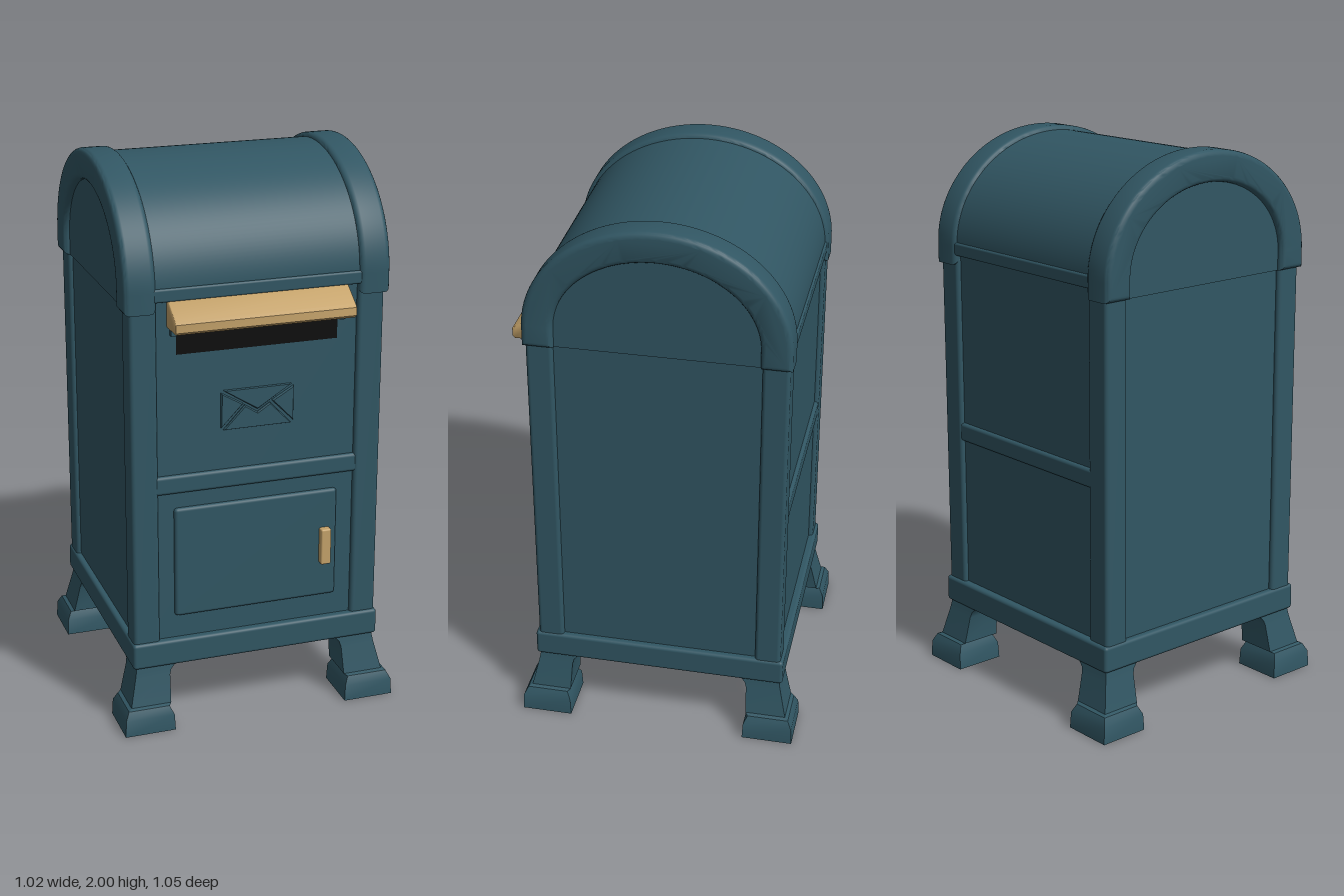
import * as THREE from 'three';
import { toCreasedNormals } from 'three/addons/utils/BufferGeometryUtils.js';
import { RoundedBoxGeometry } from 'three/addons/geometries/RoundedBoxGeometry.js';

const paint = (name, color) => Object.assign(new THREE.MeshStandardMaterial({ color }), { name });

// Half-elliptical arch outline standing on straight sides
const SPRING = 1.61;
function arch(rx, ry, bottom, inner) {
  const s = new THREE.Shape();
  s.moveTo(rx, bottom);
  s.lineTo(rx, SPRING);
  s.absellipse(0, SPRING, rx, ry, 0, Math.PI, false);
  s.lineTo(-rx, bottom);
  if (inner) { // cut out the middle to leave a horseshoe
    s.lineTo(-inner[0], bottom);
    s.lineTo(-inner[0], SPRING);
    s.absellipse(0, SPRING, inner[0], inner[1], Math.PI, 0, true);
    s.lineTo(inner[0], bottom);
  }
  s.closePath();
  return s;
}

// Extrudes a (z, y) outline along x between x0 and x1, with rounded edges
function extrudeX(shape, x0, x1, bevel) {
  const g = new THREE.ExtrudeGeometry(shape, {
    depth: x1 - x0 - 2 * bevel, curveSegments: 40, bevelEnabled: bevel > 0,
    bevelSize: bevel, bevelThickness: bevel, bevelOffset: -bevel, bevelSegments: 4,
  });
  g.translate(0, 0, x0 + bevel);
  g.rotateY(Math.PI / 2);
  return toCreasedNormals(g, 0.6);
}

// Stacks square rings [y, inner, outer] into one corner leg
function cornerLoft(levels) {
  const rings = levels.map(([y, i, o]) => [[i, y, i], [i, y, o], [o, y, o], [o, y, i]]);
  const pos = [];
  const quad = (a, b, c, d) => pos.push(...a, ...b, ...c, ...a, ...c, ...d);
  for (let k = 0; k < rings.length - 1; k++) {
    for (let j = 0; j < 4; j++) {
      const n = (j + 1) % 4;
      quad(rings[k][j], rings[k][n], rings[k + 1][n], rings[k + 1][j]);
    }
  }
  quad(...rings[rings.length - 1]);
  quad(...[...rings[0]].reverse());
  const g = new THREE.BufferGeometry();
  g.setAttribute('position', new THREE.Float32BufferAttribute(pos, 3));
  return toCreasedNormals(g, 0.5);
}

export function createModel() {
  const teal = paint('teal paint', 0x315663);
  const brass = paint('brass', 0xc4a26a);
  const black = paint('slot black', 0x0c0c0c);

  const model = new THREE.Group();
  model.name = 'mailbox';
  const box = new THREE.Group();
  box.name = 'mailboxBody';
  box.position.z = -0.015;
  model.add(box);

  const add = (name, geo, mat = teal) => {
    const m = new THREE.Mesh(geo, mat);
    m.name = name;
    box.add(m);
    return m;
  };
  // Block given by its limits, with optional rounded edges
  const block = (name, x0, x1, y0, y1, z0, z1, r = 0, mat = teal) => {
    const size = [x1 - x0, y1 - y0, z1 - z0];
    const g = r ? new RoundedBoxGeometry(...size, 3, r) : new THREE.BoxGeometry(...size);
    return add(name, g.translate((x0 + x1) / 2, (y0 + y1) / 2, (z0 + z1) / 2), mat);
  };

  // Recessed panels and base tray
  block('panels', -0.44, 0.44, 0.28, 1.6, -0.435, 0.435);
  block('base', -0.463, 0.463, 0.233, 0.33, -0.462, 0.462, 0.012);

  // Corner posts
  for (const sx of [-1, 1]) {
    for (const sz of [-1, 1]) {
      const [x, z] = [sx * 0.409, sz * 0.404];
      block('cornerPost', x - 0.048, x + 0.048, 0.3, 1.57, z - 0.047, z + 0.047, 0.014);
    }
  }

  // Cross bands and lips under the hood, front and back
  for (const s of [-1, 1]) {
    const z = s * 0.43;
    block('crossBand', -0.38, 0.38, 0.882, 0.95, z - 0.018, z + 0.018, 0.012);
    block('hoodLip', -0.38, 0.38, 1.575, 1.622, z - 0.025, z + 0.025, 0.008);
  }

  // Barrel hood, its rims and side panels
  add('hood', extrudeX(arch(0.448, 0.374, 1.578), -0.38, 0.38, 0));
  for (const [a, b, c, d] of [[0.362, 0.475, 0.3, 0.451], [-0.475, -0.362, -0.451, -0.3]]) {
    add('hoodRim', extrudeX(arch(0.46, 0.39, 1.54, [0.352, 0.28]), a, b, 0.02));
    add('hoodSidePanel', extrudeX(arch(0.375, 0.3, 1.54), c, d, 0));
  }

  // Four legs with flared tops and chamfered feet
  const leg = cornerLoft([
    [0, 0.325, 0.51], [0.06, 0.328, 0.507], [0.09, 0.342, 0.492], [0.095, 0.332, 0.479],
    [0.195, 0.328, 0.456], [0.215, 0.322, 0.452], [0.228, 0.31, 0.45], [0.238, 0.29, 0.448],
  ]);
  for (let i = 0; i < 4; i++) add('leg', leg).rotation.y = i * Math.PI / 2;

  // Letter slot with side brackets and sloping brass lid
  block('letterSlot', -0.29, 0.29, 1.385, 1.5, 0.432, 0.438, 0, black);
  for (const s of [-1, 1]) {
    block('lidBracket', s * 0.302 - 0.01, s * 0.302 + 0.01, 1.455, 1.5, 0.43, 0.455);
  }
  const lid = new THREE.Shape([
    [0.43, 1.483], [0.528, 1.483], [0.537, 1.492], [0.536, 1.52], [0.526, 1.53],
    [0.455, 1.577], [0.43, 1.579],
  ].map(([z, y]) => new THREE.Vector2(-z, y)));
  add('slotLid', extrudeX(lid, -0.322, 0.322, 0.006), brass);

  // Embossed envelope made of four folded flaps
  const [w, h, yc] = [0.132, 0.072, 1.167];
  const flaps = [
    [[-w + 0.008, h], [0, -0.008], [w - 0.008, h]],
    [[-w, h - 0.008], [-w, -h + 0.008], [-0.052, 0.018]],
    [[w, h - 0.008], [0.052, 0.018], [w, -h + 0.008]],
    [[-w + 0.008, -h], [w - 0.008, -h], [0.046, 0.012], [0, -0.018], [-0.046, 0.012]],
  ];
  for (const f of flaps) {
    const s = new THREE.Shape(f.map(([x, y]) => new THREE.Vector2(x, y + yc)));
    const g = new THREE.ExtrudeGeometry(s, {
      depth: 0.004, bevelSize: 0.004, bevelThickness: 0.005, bevelOffset: -0.004, bevelSegments: 1,
    });
    add('envelopeFlap', g.translate(0, 0, 0.436));
  }

  // Collection door and handle
  block('door', -0.303, 0.3, 0.415, 0.826, 0.415, 0.449, 0.012);
  block('doorHandle', 0.234, 0.272, 0.547, 0.683, 0.44, 0.475, 0.006, brass);

  return model;
}
